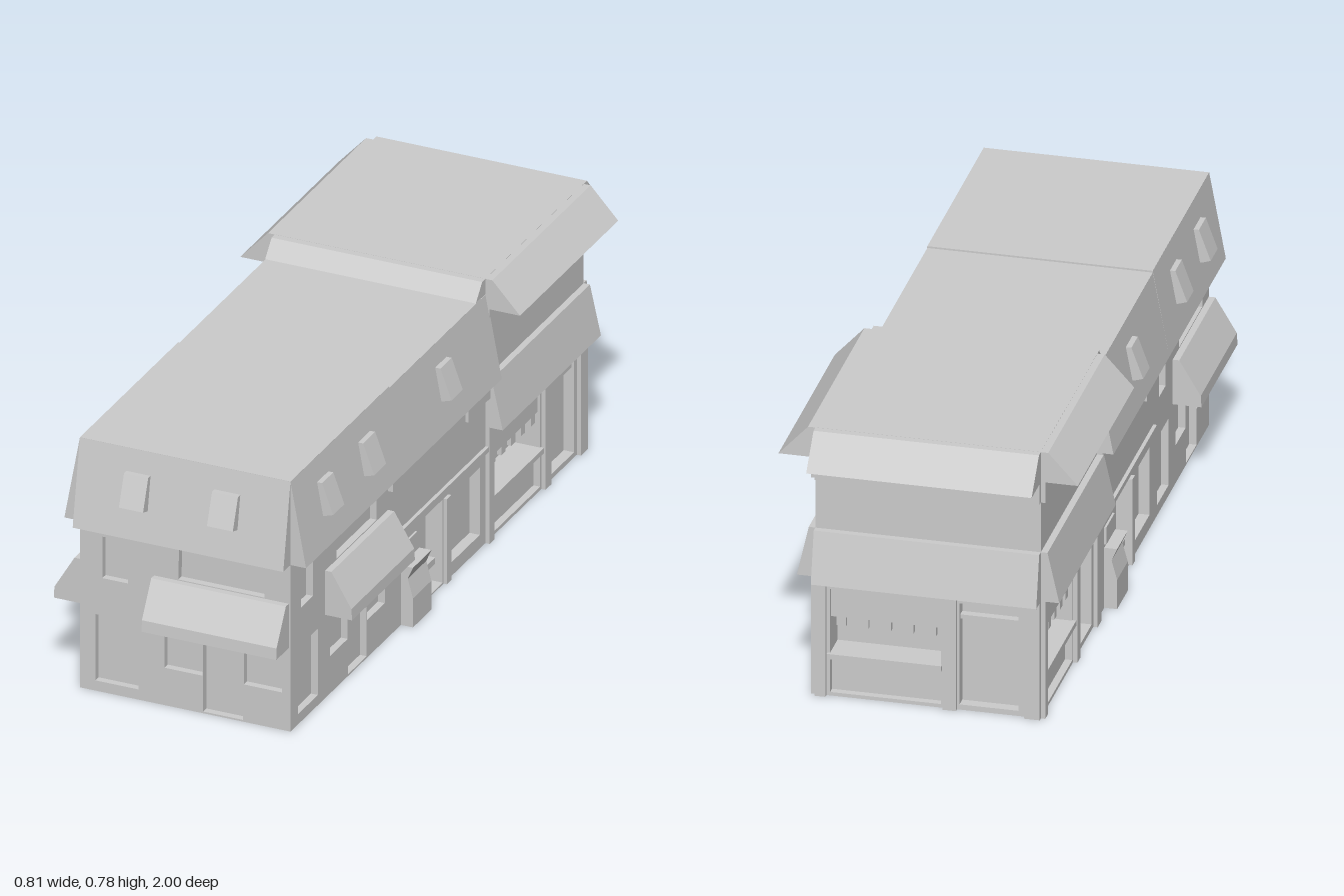
import * as THREE from 'three';

const W = 0.61; // width of every facade module
const stone = new THREE.MeshStandardMaterial({ color: 0xcccccc, side: THREE.DoubleSide });
stone.name = 'stone grey';

function add(group, name, geometry) {
  const mesh = new THREE.Mesh(geometry, stone);
  mesh.name = name;
  group.add(mesh);
  return mesh;
}

// box given by its x, y and z limits
function block(group, name, x0, x1, y0, y1, z0, z1) {
  const g = new THREE.BoxGeometry(x1 - x0, y1 - y0, z1 - z0);
  g.translate((x0 + x1) / 2, (y0 + y1) / 2, (z0 + z1) / 2);
  return add(group, name, g);
}

// profile of [outward, height] points swept along the facade from x0 to x1
function sweep(group, name, profile, x0 = -W / 2, x1 = W / 2) {
  const shape = new THREE.Shape(profile.map(([a, b]) => new THREE.Vector2(a, b)));
  const g = new THREE.ExtrudeGeometry(shape, { depth: x1 - x0, bevelEnabled: false });
  g.rotateY(-Math.PI / 2);
  g.translate(x1, 0, 0);
  return add(group, name, g);
}

const rect = (x0, x1, y0, y1) =>
  [[x0, y0], [x1, y0], [x1, y1], [x0, y1]].map(([x, y]) => new THREE.Vector2(x, y));

// reveal: the ring of faces joining an opening to its pane
function revealGeometry(outline, depth) {
  const pos = [];
  outline.forEach((a, i) => {
    const b = outline[(i + 1) % outline.length];
    pos.push(a.x, a.y, 0, b.x, b.y, 0, b.x, b.y, -depth);
    pos.push(a.x, a.y, 0, b.x, b.y, -depth, a.x, a.y, -depth);
  });
  const g = new THREE.BufferGeometry();
  g.setAttribute('position', new THREE.Float32BufferAttribute(pos, 3));
  g.computeVertexNormals();
  return g;
}

// thin wall with openings given as [outline, depth], each closed by a recessed pane
function wall(group, height, openings) {
  const shape = new THREE.Shape(rect(-W / 2, W / 2, 0, height));
  for (const [outline] of openings) shape.holes.push(new THREE.Path(outline));
  add(group, 'wall', new THREE.ShapeGeometry(shape));
  for (const [outline, depth] of openings) {
    const pane = new THREE.ShapeGeometry(new THREE.Shape(outline));
    pane.translate(0, 0, -depth);
    add(group, 'recessedPane', pane);
    add(group, 'reveal', revealGeometry(outline, depth));
  }
}

function mansard(group, top, dormers) {
  sweep(group, 'mansardSlope', [[0, top], [0.045, 0.49], [0, 0.49]]);
  for (const [a, b] of dormers) {
    sweep(group, 'dormer', [[0, 0.672], [0.026, 0.672], [0.058, 0.585], [0.033, 0.577], [0, 0.577]], a, b);
  }
}

// cafe facade with awning, arched upper window and mansard
function cafeFacade() {
  const g = new THREE.Group();
  const arch = new THREE.Path();
  arch.moveTo(-0.02, 0.378);
  arch.lineTo(0.23, 0.378);
  arch.lineTo(0.23, 0.45);
  arch.quadraticCurveTo(0.228, 0.484, 0.195, 0.484);
  arch.lineTo(0.015, 0.484);
  arch.quadraticCurveTo(-0.018, 0.484, -0.02, 0.45);
  wall(g, 0.735, [
    [rect(-0.26, -0.135, 0.03, 0.225), 0.02],
    [rect(-0.24, -0.165, 0.335, 0.457), 0.02],
    [arch.getPoints(5).slice(0, -1), 0.02],
    [rect(-0.06, 0.05, 0.11, 0.3), 0.02],
    [rect(0.052, 0.168, 0.005, 0.3), 0.02],
    [rect(0.17, 0.28, 0.11, 0.3), 0.02],
  ]);
  sweep(g, 'awning', [[0, 0.375], [0.018, 0.375], [0.076, 0.278], [0.078, 0.245], [0, 0.245]], -0.09, 0.3);
  mansard(g, 0.735, [[-0.165, -0.095], [0.09, 0.165]]);
  return g;
}

// middle facade with kiosk, entrance and shop window
function middleFacade() {
  const g = new THREE.Group();
  wall(g, 0.73, [
    [rect(-0.1, 0.035, 0.005, 0.25), 0.05],
    [rect(0.075, 0.265, 0.04, 0.238), 0.03],
  ]);
  sweep(g, 'kiosk', [[0, 0], [0.035, 0], [0.035, 0.085], [0.02, 0.14], [0.035, 0.175], [0, 0.175]], -0.225, -0.11);
  block(g, 'kioskSign', -0.225, -0.135, 0.185, 0.235, 0, 0.006);
  block(g, 'counter', -0.105, -0.025, 0.09, 0.108, -0.03, 0.006);
  block(g, 'column', 0.04, 0.068, 0, 0.25, 0, 0.01);
  block(g, 'ledge', -W / 2, W / 2, 0.27, 0.285, 0, 0.01);
  block(g, 'frieze', -W / 2, W / 2, 0.43, 0.49, 0, 0.015);
  block(g, 'signBracket', 0.145, 0.19, 0.43, 0.475, 0.015, 0.023);
  mansard(g, 0.73, [[-0.035, 0.035]]);
  return g;
}

// shop facade with display window, door and two tiers of eaves
function shopFacade() {
  const g = new THREE.Group();
  wall(g, 0.777, [
    [rect(-0.265, 0.035, 0.125, 0.31), 0.08],
    [rect(-0.265, 0.035, 0.01, 0.11), 0.02],
    [rect(0.085, 0.245, 0.015, 0.31), 0.03],
  ]);
  block(g, 'valance', -0.265, 0.035, 0.228, 0.31, -0.02, -0.008);
  for (let i = 0; i < 5; i++) {
    const x = -0.25 + i * 0.061;
    block(g, 'valanceTooth', x, x + 0.026, 0.203, 0.228, -0.02, -0.008);
  }
  block(g, 'windowSill', -0.272, 0.038, 0.11, 0.125, 0, 0.01);
  block(g, 'doorTransom', 0.085, 0.245, 0.262, 0.274, -0.03, -0.008);
  for (const [a, b] of [[-0.305, -0.275], [0.042, 0.078], [0.262, 0.305]]) {
    block(g, 'pilaster', a, b, 0, 0.345, 0, 0.012);
  }
  block(g, 'cornice', -W / 2, W / 2, 0.63, 0.69, 0, 0.012);
  sweep(g, 'lowerEave', [[0, 0.485], [0.018, 0.485], [0.05, 0.342], [0, 0.342]]);
  sweep(g, 'upperEave', [[0, 0.777], [0.02, 0.777], [0.1, 0.69], [0, 0.69]]);
  return g;
}

export function createModel() {
  const model = new THREE.Group();
  model.name = 'shopRow';
  const place = (name, facade, x, z, turn) => {
    facade.name = name;
    facade.position.set(x, 0, z);
    facade.rotation.y = turn * Math.PI / 2;
    model.add(facade);
  };

  // facades on both long sides
  for (const s of [1, -1]) {
    const side = s > 0 ? 'left' : 'right';
    place(side + 'CafeFacade', cafeFacade(), s * W / 2, 0.615, s);
    place(side + 'MiddleFacade', middleFacade(), s * W / 2, 0.01, s);
    place(side + 'ShopFacade', shopFacade(), s * W / 2, -0.595, s);
  }
  // end facades
  place('frontCafeFacade', cafeFacade(), 0, 0.92, 0);
  place('backShopFacade', shopFacade(), 0, -0.9, 2);

  // flat roofs
  for (const [name, y, z0, z1] of [
    ['cafeRoof', 0.735, 0.31, 0.92],
    ['middleRoof', 0.73, -0.29, 0.31],
    ['shopRoof', 0.777, -0.9, -0.29],
  ]) block(model, name, -W / 2, W / 2, y - 0.01, y + 0.0005, z0, z1);

  // eave stepping down from the higher shop roof to the middle roof
  const step = new THREE.Group();
  step.name = 'roofStep';
  step.position.z = -0.29;
  sweep(step, 'roofStepEave', [[0, 0.777], [0.02, 0.777], [0.06, 0.732], [0, 0.732]]);
  model.add(step);
  return model;
}
